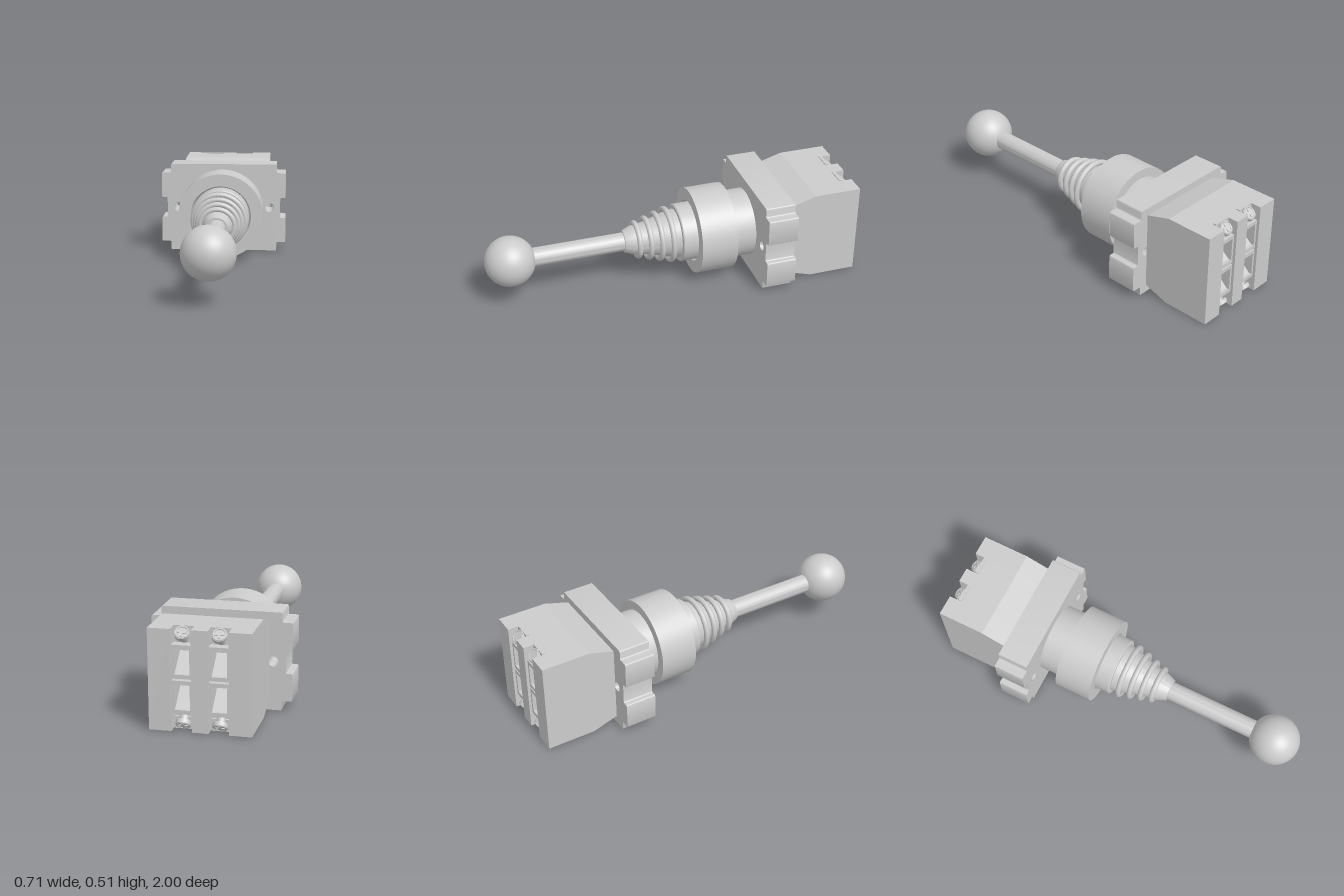
import * as THREE from 'three';
import { toCreasedNormals } from 'three/addons/utils/BufferGeometryUtils.js';

const CY = 0.26; // height of the lever axis
const mat = new THREE.MeshStandardMaterial({ color: 0xcccccc });

function add(parent, name, geo, x = 0, y = 0, z = 0) {
  const m = new THREE.Mesh(geo, mat);
  m.name = name;
  m.position.set(x, y, z);
  parent.add(m);
  return m;
}

// Turned part on the lever axis; points are [radius, z], from back to front
function turned(parent, name, pts) {
  const geo = new THREE.LatheGeometry(pts.map(p => new THREE.Vector2(p[0], p[1])), 64);
  geo.rotateX(Math.PI / 2);
  return add(parent, name, toCreasedNormals(geo, 0.6), 0, CY, 0);
}

// Side profile of [z, y] points, extruded across x0..x1
function slab(parent, name, pts, x0, x1) {
  const shape = new THREE.Shape(pts.map(p => new THREE.Vector2(p[0], p[1])));
  const geo = new THREE.ExtrudeGeometry(shape, { depth: x1 - x0, bevelEnabled: false });
  geo.rotateY(-Math.PI / 2);
  return add(parent, name, geo, x1, 0, 0);
}

// Closed outline with small rounded corners
function roundedShape(pts, r) {
  const s = new THREE.Shape();
  const v = pts.map(p => new THREE.Vector2(p[0], p[1]));
  v.forEach((p, i) => {
    const toward = q => p.clone().add(q.clone().sub(p).setLength(r));
    const a = toward(v[(i + v.length - 1) % v.length]);
    const b = toward(v[(i + 1) % v.length]);
    if (i === 0) s.moveTo(a.x, a.y); else s.lineTo(a.x, a.y);
    s.quadraticCurveTo(p.x, p.y, b.x, b.y);
  });
  s.closePath();
  return s;
}

// Cross-head terminal screw, facing +y before tilting
function screw(parent, x, y, z, tilt) {
  const g = new THREE.Group();
  g.name = 'terminalScrew';
  add(g, 'screwHead', new THREE.CylinderGeometry(0.036, 0.038, 0.02, 24));
  const ring = new THREE.TorusGeometry(0.03, 0.004, 6, 24);
  ring.rotateX(Math.PI / 2);
  add(g, 'screwRim', ring, 0, 0.01, 0);
  for (const a of [0, Math.PI / 2]) {
    add(g, 'screwCross', new THREE.BoxGeometry(0.045, 0.006, 0.01), 0, 0.011, 0).rotation.y = a;
  }
  add(g, 'screwShank', new THREE.CylinderGeometry(0.02, 0.02, 0.05, 16), 0, -0.03, 0);
  g.position.set(x, y, z);
  g.rotation.x = tilt;
  parent.add(g);
}

export function createModel() {
  const model = new THREE.Group();
  model.name = 'joystickSwitch';

  // Knob and rod
  add(model, 'knob', new THREE.SphereGeometry(0.135, 48, 32), 0, CY, 0.865);
  turned(model, 'rod', [[0.05, 0.18], [0.05, 0.78]]);

  // Rubber boot: tapered core with bulging rings
  turned(model, 'boot', [[0.135, -0.06], [0.13, -0.02], [0.118, 0.03], [0.1, 0.09],
    [0.085, 0.15], [0.08, 0.2], [0.06, 0.25], [0.0, 0.25]]);
  for (let i = 0; i < 4; i++) {
    add(model, 'bootRing', new THREE.TorusGeometry(0.14 - 0.0165 * i, 0.015, 12, 64), 0, CY, 0.003 + 0.058 * i);
  }

  // Collar, threaded ring and neck
  turned(model, 'collar', [[0.158, -0.18], [0.158, -0.05], [0.153, -0.045], [0, -0.045]]);
  turned(model, 'ring', [[0, -0.325], [0.235, -0.325], [0.235, -0.125], [0.168, -0.125], [0.156, -0.165]]);
  turned(model, 'neck', [[0.185, -0.45], [0.185, -0.32]]);

  // Mounting plate with four tabs and two screw holes
  const right = [[0.305, 0.008], [0.305, 0.058], [0.357, 0.058], [0.357, 0.2], [0.325, 0.2],
    [0.325, 0.317], [0.357, 0.317], [0.357, 0.46], [0.305, 0.46], [0.305, 0.51]];
  const left = right.map(([x, y]) => [-x, y]).reverse();
  const outline = roundedShape([...right, ...left], 0.008);
  for (const x of [-0.26, 0.264]) {
    outline.holes.push(new THREE.Path().absarc(x, CY, 0.026, 0, Math.PI * 2, true));
  }
  const plateGeo = new THREE.ExtrudeGeometry(outline, { depth: 0.165, bevelEnabled: false, curveSegments: 16 });
  add(model, 'mountingPlate', toCreasedNormals(plateGeo, 0.6), 0, 0, -0.61);

  // Contact block: full-depth walls with two terminal channels between them
  const front = [[-0.745, 0.008], [-0.61, 0.05], [-0.61, 0.47], [-0.745, 0.51]];
  const wall = [[-1, 0.008], ...front, [-1, 0.51]];
  for (const [x0, x1] of [[-0.24, -0.13], [-0.03, 0.05], [0.15, 0.26]]) {
    slab(model, 'blockWall', wall, x0, x1);
  }
  const channel = [...front,
    [-0.935, 0.51], [-0.935, 0.43], [-0.985, 0.43], [-0.985, 0.41], [-0.87, 0.405],
    [-0.87, 0.37], [-0.97, 0.285], [-0.985, 0.285], [-0.985, 0.265], [-0.95, 0.265],
    [-0.95, 0.255], [-0.985, 0.255], [-0.985, 0.235], [-0.87, 0.23], [-0.87, 0.2],
    [-0.97, 0.11], [-0.985, 0.11], [-0.985, 0.09], [-0.935, 0.09], [-0.935, 0.008]];
  for (const [x0, x1] of [[-0.13, -0.03], [0.05, 0.15]]) {
    const xm = (x0 + x1) / 2;
    slab(model, 'terminalChannel', channel, x0, x1);
    for (const s of [1, -1]) {
      // Clamp plate and tilted screw at each end of the channel
      add(model, 'clampPlate', new THREE.BoxGeometry(0.096, 0.06, 0.018), xm, CY + s * 0.225, -0.937);
      screw(model, xm, CY + s * 0.222, -0.965, s > 0 ? -Math.PI / 4 : -Math.PI * 0.75);
    }
    // Narrow cheeks inside the wire windows
    for (const y of [0.347, 0.172]) {
      for (const x of [x0 + 0.006, x1 - 0.006]) {
        add(model, 'windowCheek', new THREE.BoxGeometry(0.012, 0.125, 0.11), x, y, -0.93);
      }
    }
  }
  return model;
}
